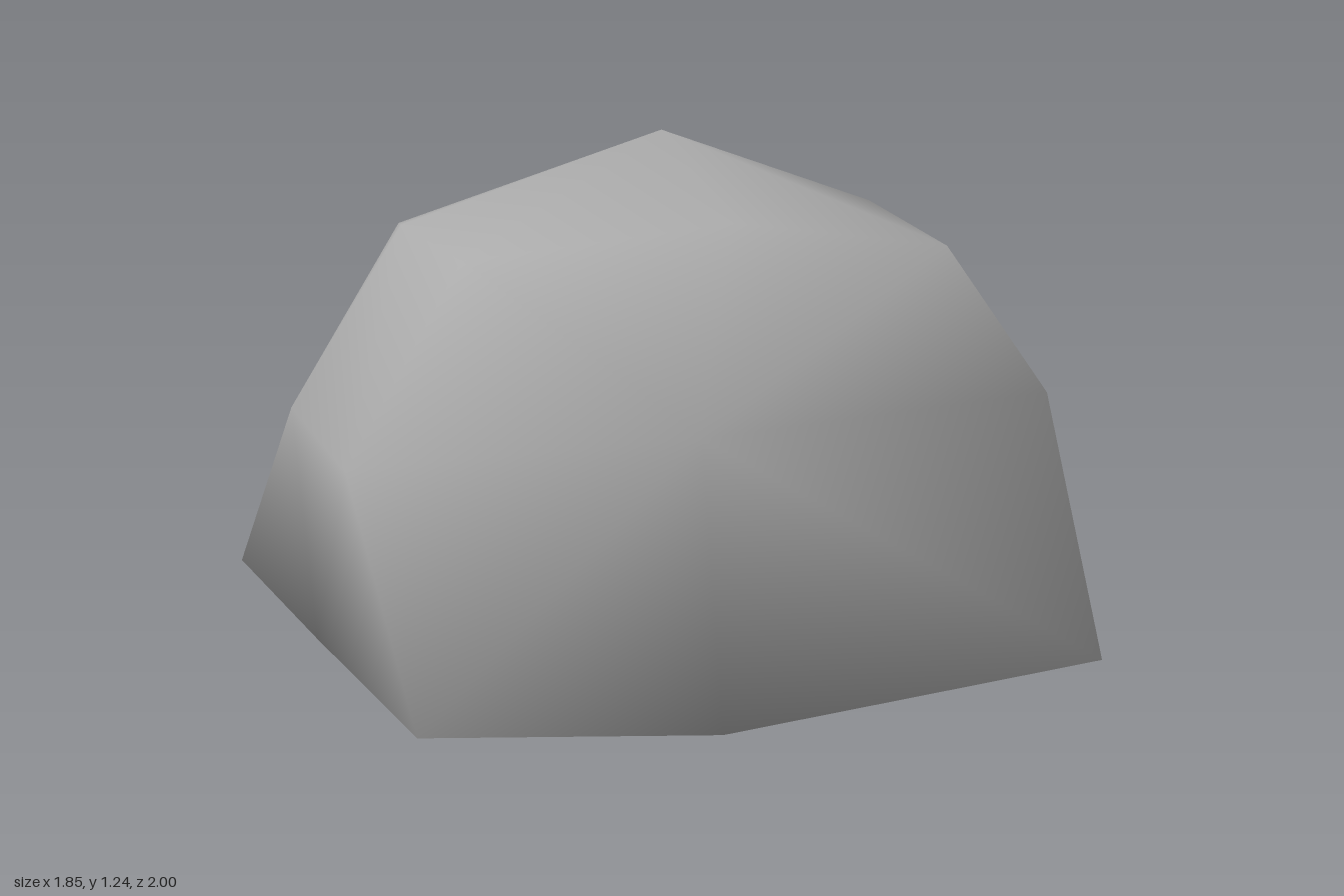
import * as THREE from 'three';

// Rings run front, front-left, left, back-left, back, back-right, right, front-right
const base = [
  [-0.19, 0, 1.0], [0.9, 0, 0.78], [0.9, 0, -0.085], [0.9, 0, -0.95],
  [0.035, 0, -0.95], [-0.83, 0, -0.95], [-0.835, 0, -0.085], [-0.83, 0, 0.78],
];
const belly = [
  [-0.2, 0.65, 0.89], [0.79, 0.65, 0.67], [0.92, 0.64, -0.08], [0.78, 0.5, -0.83],
  [0.03, 0.51, -1.0], [-0.61, 0.5, -0.84], [-0.86, 0.57, -0.2], [-0.93, 0.57, 0.58],
];
const shoulder = [
  [0.02, 1.08, 0.55], [0.58, 1.0, 0.54], [0.67, 1.04, -0.08], [0.68, 0.93, -0.72],
  [0.03, 1.03, -0.72], [-0.45, 0.965, -0.64], [-0.6, 1.03, -0.09], [-0.59, 1.0, 0.375],
];
const apex = [0.1, 1.24, -0.12];
const floorCentre = [0.035, 0, -0.085];

function rockGeometry() {
  const points = [...base, ...belly, ...shoulder, apex, floorCentre];
  const v = points.map((p) => new THREE.Vector3(...p));
  const index = [];

  // Split each four-sided facet along the diagonal that bulges outward
  const quad = (a, b, c, d) => {
    const plane = new THREE.Plane().setFromCoplanarPoints(v[a], v[b], v[c]);
    if (plane.distanceToPoint(v[d]) <= 1e-6) index.push(a, b, c, a, c, d);
    else index.push(a, b, d, b, c, d);
  };

  // Side walls: base to belly, belly to shoulder
  for (const row of [0, 8]) {
    for (let i = 0; i < 8; i++) {
      const j = (i + 1) % 8;
      quad(row + i, row + j, row + 8 + j, row + 8 + i);
    }
  }
  // Crown and underside: one facet per corner
  for (let i = 0; i < 8; i += 2) {
    const j = (i + 2) % 8;
    quad(16 + i, 16 + i + 1, 16 + j, 24);
    quad(j, i + 1, i, 25);
  }

  const geometry = new THREE.BufferGeometry().setFromPoints(v);
  geometry.setIndex(index);
  geometry.computeVertexNormals(); // shared vertices give smooth shading
  return geometry;
}

export function createModel() {
  const stone = new THREE.MeshStandardMaterial({ color: 0xaaaaaa });
  stone.name = 'stone grey';
  const rock = new THREE.Mesh(rockGeometry(), stone);
  rock.name = 'rock';
  const group = new THREE.Group();
  group.name = 'boulder';
  group.add(rock);
  return group;
}
